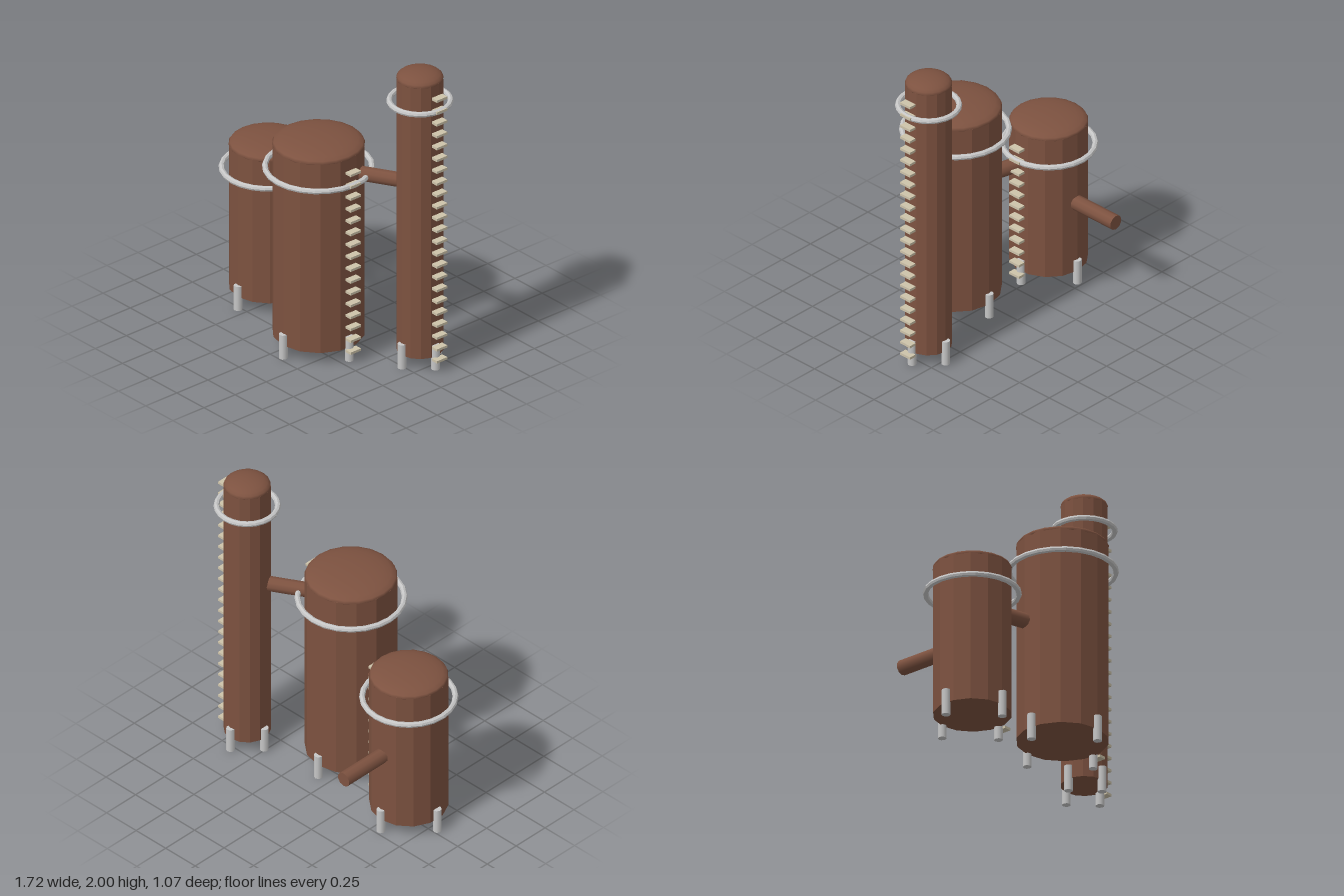
import * as THREE from 'three';

const rust = new THREE.MeshStandardMaterial({ color: 0x7d5240 });
rust.name = 'rustBrown';
const steel = new THREE.MeshStandardMaterial({ color: 0xc6c6c6 });
steel.name = 'paleSteel';
const sand = new THREE.MeshStandardMaterial({ color: 0xcdc3aa });
sand.name = 'sandRung';

const BASE = 0.083;   // underside of the vessels
const STEP = 0.0815;  // rung spacing

function add(parent, name, geometry, material, x = 0, y = 0, z = 0) {
  const mesh = new THREE.Mesh(geometry, material);
  mesh.name = name;
  mesh.position.set(x, y, z);
  parent.add(mesh);
  return mesh;
}

// Flat-faced geometry with each facet shaded separately
function faceted(geometry) {
  const g = geometry.toNonIndexed();
  g.computeVertexNormals();
  return g;
}

// Vessel with domed top, four legs, a ring rail and a column of rungs
function makeTank({ name, x, z, r, shoulder, top, ringY, rungs }) {
  const tank = new THREE.Group();
  tank.name = name;
  tank.position.set(x, 0, z);

  const h = shoulder - BASE;
  add(tank, 'shell', faceted(new THREE.CylinderGeometry(r, r, h, 14)), rust, 0, BASE + h / 2, 0);

  const dome = add(tank, 'dome', new THREE.SphereGeometry(r, 20, 12), rust, 0, shoulder, 0);
  dome.scale.y = (top - shoulder) / r;

  for (let i = 0; i < 4; i++) {
    const a = i * Math.PI / 2;
    add(tank, 'leg', new THREE.CylinderGeometry(0.027, 0.027, 0.165, 10), steel,
      r * Math.cos(a), 0.0825, r * Math.sin(a));
  }

  const ring = add(tank, 'ringRail', faceted(new THREE.TorusGeometry(r + 0.042, 0.018, 8, 24)), steel, 0, ringY, 0);
  ring.rotation.x = Math.PI / 2;

  const rung = new THREE.BoxGeometry(0.048, 0.016, 0.083);
  for (let i = 0; i < rungs; i++) add(tank, 'rung', rung, sand, r + 0.037, 0.081 + i * STEP, 0);
  return tank;
}

// Straight pipe between two points
function makePipe(name, from, to) {
  const a = new THREE.Vector3(...from), b = new THREE.Vector3(...to);
  const dir = b.clone().sub(a);
  const geometry = new THREE.CylinderGeometry(0.048, 0.048, dir.length(), 10);
  const pipe = new THREE.Mesh(geometry, rust);
  pipe.name = name;
  pipe.position.copy(a).add(b).multiplyScalar(0.5);
  pipe.quaternion.setFromUnitVectors(new THREE.Vector3(0, 1, 0), dir.normalize());
  return pipe;
}

export function createModel() {
  const model = new THREE.Group();
  model.name = 'processingTanks';

  const small = { name: 'smallTank', x: -0.559, z: 0.027, r: 0.241, shoulder: 1.06, top: 1.11, ringY: 0.894, rungs: 12 };
  const wide = { name: 'wideTank', x: 0.087, z: 0.187, r: 0.283, shoulder: 1.38, top: 1.435, ringY: 1.218, rungs: 16 };
  const tall = { name: 'tallTower', x: 0.653, z: -0.133, r: 0.144, shoulder: 1.947, top: 2, ringY: 1.788, rungs: 23 };
  for (const t of [small, wide, tall]) model.add(makeTank(t));

  // Connecting pipes and rear outlet
  model.add(makePipe('lowerPipe', [small.x, 0.815, small.z], [wide.x, 0.815, wide.z]));
  model.add(makePipe('upperPipe', [wide.x, 1.218, wide.z], [tall.x, 1.218, tall.z]));
  model.add(makePipe('outletPipe', [small.x, 0.57, small.z], [small.x, 0.57, -0.538]));
  return model;
}
